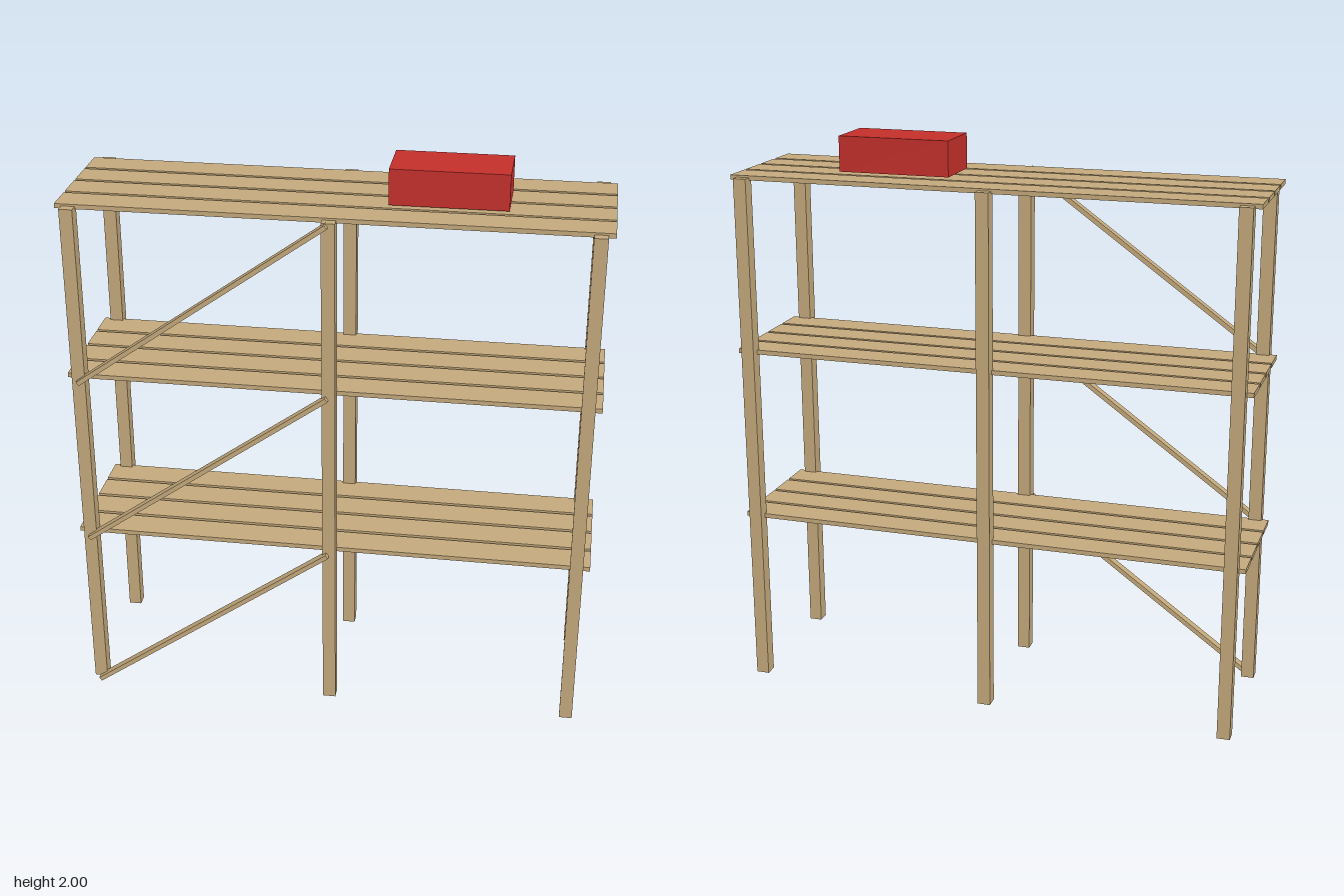
import * as THREE from 'three';

export function createModel() {
  const model = new THREE.Group();
  const wood = new THREE.MeshStandardMaterial({ color: 0xc4a97c });
  const red = new THREE.MeshStandardMaterial({ color: 0xc4302b });

  function addBox(name, size, position, material = wood) {
    const mesh = new THREE.Mesh(new THREE.BoxGeometry(...size), material);
    mesh.name = name;
    mesh.position.set(...position);
    model.add(mesh);
    return mesh;
  }

  const shelfStep = 0.617;
  const shelfHeights = [0, 1, 2].map((i) => 0.63 + i * shelfStep);

  // Three pairs of upright posts
  for (const x of [-0.868, 0, 0.868]) {
    addBox('frontPost', [0.046, 1.853, 0.046], [x, 0.9385, 0.236]);
    addBox('backPost', [0.046, 1.853, 0.046], [x, 0.9385, -0.259]);
  }

  shelfHeights.forEach((y, level) => {
    // Four planks per shelf, with narrow gaps between them
    for (let i = 0; i < 4; i++) {
      addBox('shelfPlank', [1.83, 0.016, 0.109], [0, y, -0.197 + i * 0.123]);
    }

    // Diagonal brace across the front of the right-hand bay
    const start = new THREE.Vector2(-0.867, 0.0065 + level * shelfStep);
    const end = new THREE.Vector2(-0.0045, 0.625 + level * shelfStep);
    const middle = start.clone().add(end).multiplyScalar(0.5);
    const brace = addBox('diagonalBrace', [start.distanceTo(end), 0.016, 0.033], [middle.x, middle.y, 0.2625]);
    brace.rotation.z = end.clone().sub(start).angle();
  });

  // Box resting on the top shelf
  addBox('storageBox', [0.396, 0.123, 0.198], [0.372, 1.9385, -0.01], red);

  return model;
}
